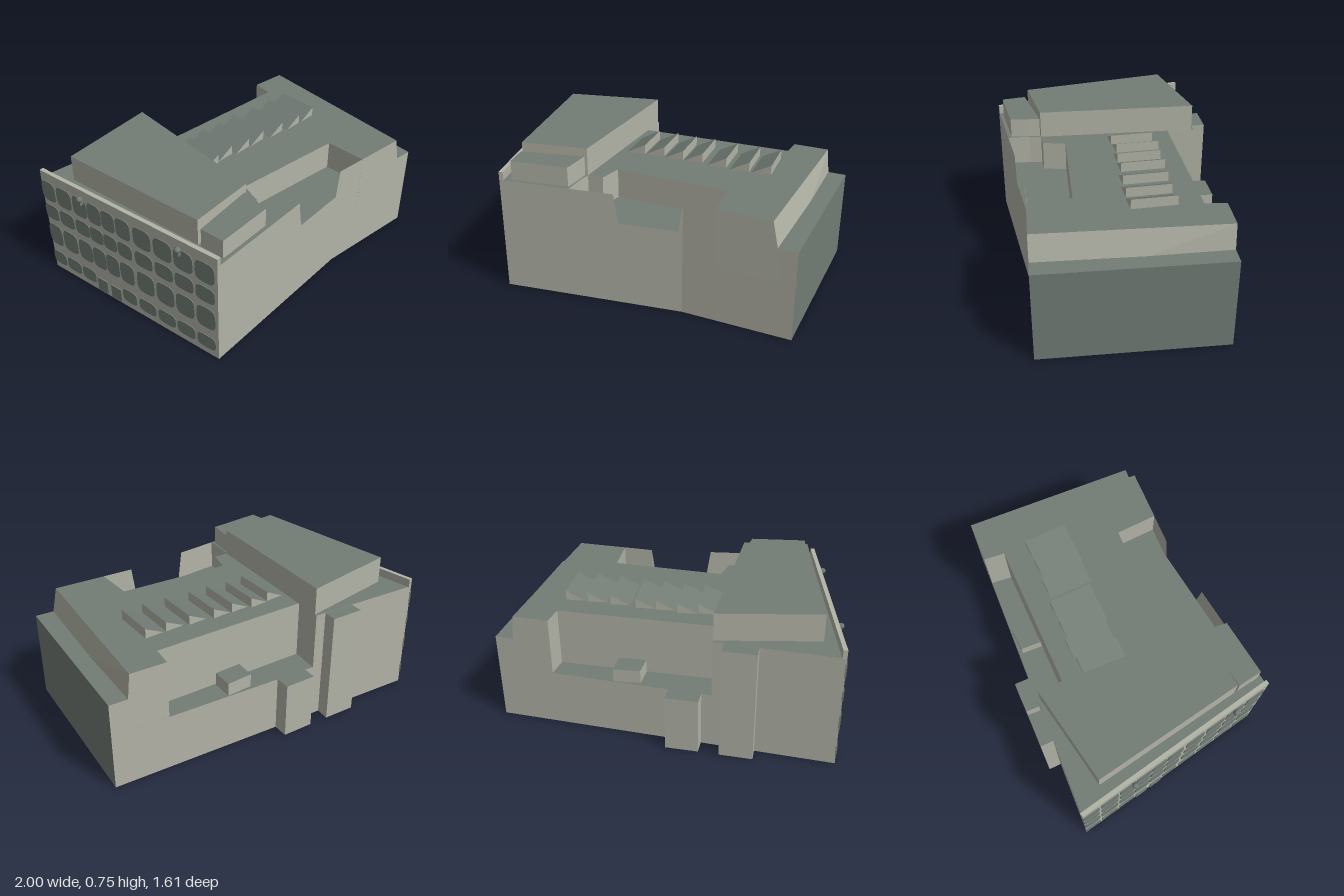
import * as THREE from 'three';

const wallMat = new THREE.MeshStandardMaterial({ color: 0xb3b4a7, side: THREE.DoubleSide });
wallMat.name = 'pale stone';
const slateMat = new THREE.MeshStandardMaterial({ color: 0x727c75, side: THREE.DoubleSide });
slateMat.name = 'grey green slate';

// Ground plan corners as [x, z]
const A = [-1, -0.09], B = [-0.31, 0.8], D = [0.48, 0.28], E = [0.995, 0.045], F = [0.6, -0.81];

function mesh(geometry, material, name) {
  const m = new THREE.Mesh(geometry, material);
  m.name = name;
  return m;
}

// Quads given as four corners each, with flat normals
function quads(list) {
  const pos = [];
  for (const [a, b, c, d] of list) pos.push(...a, ...b, ...c, ...a, ...c, ...d);
  const g = new THREE.BufferGeometry();
  g.setAttribute('position', new THREE.Float32BufferAttribute(pos, 3));
  g.computeVertexNormals();
  return g;
}

// Flat horizontal surface over a plan polygon
function cap(ring, y) {
  const g = new THREE.ShapeGeometry(new THREE.Shape(ring.map(([x, z]) => new THREE.Vector2(x, -z))));
  return g.rotateX(-Math.PI / 2).translate(0, y, 0);
}

// Open-bottomed block: stone sides, slate top; slateSides lists sides clad in slate
function block(name, ring, y0, y1, { bottom = ring, slateSides = [] } = {}) {
  const group = new THREE.Group();
  group.name = name;
  const stone = [], slate = [];
  ring.forEach((p, i) => {
    const j = (i + 1) % ring.length, q = ring[j], a = bottom[i], b = bottom[j];
    (slateSides.includes(i) ? slate : stone).push(
      [[a[0], y0, a[1]], [b[0], y0, b[1]], [q[0], y1, q[1]], [p[0], y1, p[1]]]);
  });
  group.add(mesh(quads(stone), wallMat, name + 'Walls'));
  if (slate.length) group.add(mesh(quads(slate), slateMat, name + 'Cladding'));
  group.add(mesh(cap(ring, y1), slateMat, name + 'Top'));
  return group;
}

// Window outline: a rounded box drawn as a superellipse
function windowGeometry(w, h) {
  const pts = [];
  for (let i = 0; i < 20; i++) {
    const t = (i / 20) * Math.PI * 2, c = Math.cos(t), s = Math.sin(t);
    pts.push(new THREE.Vector2(
      Math.sign(c) * Math.pow(Math.abs(c), 0.55) * w / 2,
      Math.sign(s) * Math.pow(Math.abs(s), 0.55) * h / 2));
  }
  return new THREE.ExtrudeGeometry(new THREE.Shape(pts), { depth: 0.008, bevelEnabled: false })
    .translate(0, 0, -0.004);
}

// Facade details in its own frame: x along the wall, z outward
function facade() {
  const g = new THREE.Group();
  g.name = 'facade';
  g.position.set(A[0], 0, A[1]);
  g.rotation.y = -Math.atan2(B[1] - A[1], B[0] - A[0]);
  const length = Math.hypot(B[0] - A[0], B[1] - A[1]);
  const along = x => (x - A[0]) / (B[0] - A[0]) * length;

  const columns = [[-0.972, 0.06], [-0.905, 0.066], [-0.837, 0.062], [-0.777, 0.058], [-0.72, 0.056],
    [-0.66, 0.06], [-0.585, 0.071], [-0.507, 0.071], [-0.431, 0.071], [-0.354, 0.071]];
  const rows = [[0.082, 0.085], [0.247, 0.135], [0.4, 0.095], [0.537, 0.122]];
  rows.forEach(([y, h], r) => columns.forEach(([x, w], c) => {
    if (r === 0 && (c === 3 || c === 4)) return;
    const win = mesh(windowGeometry(w * 1.6, h), slateMat, 'window');
    win.position.set(along(x), y, 0);
    g.add(win);
  }));

  // Twin doors with rounded heads
  for (const x of [-0.777, -0.718]) {
    const door = mesh(new THREE.BoxGeometry(0.07, 0.085, 0.014), slateMat, 'door');
    door.position.set(along(x), 0.057, 0);
    const head = mesh(new THREE.CylinderGeometry(0.035, 0.035, 0.012, 16, 1, false, Math.PI / 2, Math.PI)
      .rotateX(-Math.PI / 2), slateMat, 'doorHead');
    head.position.set(along(x), 0.095, 0);
    g.add(door, head);
  }

  // Small lamps near the top of the wall
  for (const x of [-0.82, -0.44]) {
    const lamp = mesh(new THREE.SphereGeometry(0.016, 10, 8), slateMat, 'lamp');
    lamp.position.set(along(x), 0.61, 0.02);
    const bracket = mesh(new THREE.BoxGeometry(0.012, 0.035, 0.024), slateMat, 'lampBracket');
    bracket.position.set(along(x), 0.59, 0.012);
    g.add(lamp, bracket);
  }

  const parapet = mesh(new THREE.BoxGeometry(length, 0.045, 0.022), wallMat, 'facadeParapet');
  parapet.position.set(length / 2, 0.6285, -0.011);
  g.add(parapet);
  return g;
}

// Sawtooth rooflight: sloping slate, upright stone face and ends
function skylight(cx, cz) {
  const y0 = 0.604, y1 = 0.657;
  const at = (u, v, y) => [cx + 0.045 * u + 0.055 * v, y, cz - 0.027 * u + 0.1 * v];
  const a = at(-1, -1, y0), b = at(-1, 1, y0), c = at(1, 1, y0), d = at(1, -1, y0);
  const e = at(1, 1, y1), f = at(1, -1, y1);
  const group = new THREE.Group();
  group.name = 'skylight';
  group.add(mesh(quads([[a, b, e, f]]), slateMat, 'skylightSlope'));
  group.add(mesh(quads([[c, d, f, e], [b, c, e, e], [d, a, f, f]]), wallMat, 'skylightFaces'));
  return group;
}

export function createModel() {
  const model = new THREE.Group();
  model.name = 'building';

  // Hollow lower storeys with a floor slab on top
  model.add(block('base', [A, B, D, E, F], 0, 0.3, { slateSides: [3] }));

  // Upper storeys, cut back for the front terrace and the rear recess
  const top = [A, B, [0, 0.596], [-0.05, 0.49], [-0.07, 0.43], [0, 0.39], [-0.03, 0.27], [0.52, 0.02],
    [0.63, 0.212], [0.88, 0.097], [0.5, -0.765], [0.33, -0.688], [0.37, -0.585], [-0.37, -0.21], [-0.43, -0.347]];
  const foot = top.map(p => [...p]);
  foot[9] = [0.94, 0.07];
  foot[10] = [0.53, -0.778];
  model.add(block('upperStoreys', top, 0.3, 0.606, { bottom: foot }));
  model.add(block('endLedge', [[0.88, 0.097], E, F, [0.5, -0.765]], 0.3, 0.475, { slateSides: [1] }));

  // Terrace floor and its front wall with a tapered opening
  const terrace = [top[2], D, top[8], top[7], top[6], top[5], top[4], top[3]];
  model.add(mesh(cap(terrace, 0.45), slateMat, 'terraceFloor'));
  const wallZ = x => x < D[0] ? B[1] + (x - B[0]) * (D[1] - B[1]) / (D[0] - B[0])
    : D[1] + (x - D[0]) * (E[1] - D[1]) / (E[0] - D[0]);
  const crest = [[0, 0.606], [0.19, 0.606], [0.21, 0.452], [0.462, 0.452], [0.48, 0.606], [0.63, 0.606]];
  const strip = crest.slice(1).map(([x, y], i) => {
    const [px, py] = crest[i];
    return [[px, 0.3, wallZ(px)], [x, 0.3, wallZ(x)], [x, y, wallZ(x)], [px, py, wallZ(px)]];
  });
  model.add(mesh(quads(strip), wallMat, 'terraceFrontWall'));

  // Raised rooftop volumes
  model.add(block('penthouse', [[-0.84, -0.02], [-0.355, 0.63], [-0.07, 0.43], [-0.425, -0.335]], 0.6, 0.75));
  model.add(block('roofAnnex', [[-0.345, 0.645], [-0.27, 0.75], [-0.02, 0.585], [-0.05, 0.51], [-0.08, 0.44]],
    0.6, 0.708));

  // Rear stair shafts and the small block in the recess
  model.add(block('tallShaft', [[-0.665, -0.315], [-0.62, -0.23], [-0.47, -0.3], [-0.51, -0.39]], 0, 0.605));
  model.add(block('shortShaft', [[-0.415, -0.435], [-0.37, -0.34], [-0.22, -0.42], [-0.265, -0.51]], 0, 0.302));
  model.add(block('recessBlock', [[-0.085, -0.48], [-0.04, -0.38], [0.085, -0.45], [0.035, -0.55]], 0.3, 0.37));

  // Row of rooflights
  const lights = [[-0.2, -0.04], [-0.11, -0.1], [-0.005, -0.14], [0.09, -0.19],
    [0.215, -0.24], [0.33, -0.29], [0.43, -0.345]];
  for (const [x, z] of lights) model.add(skylight(x, z));

  model.add(facade());
  return model;
}
